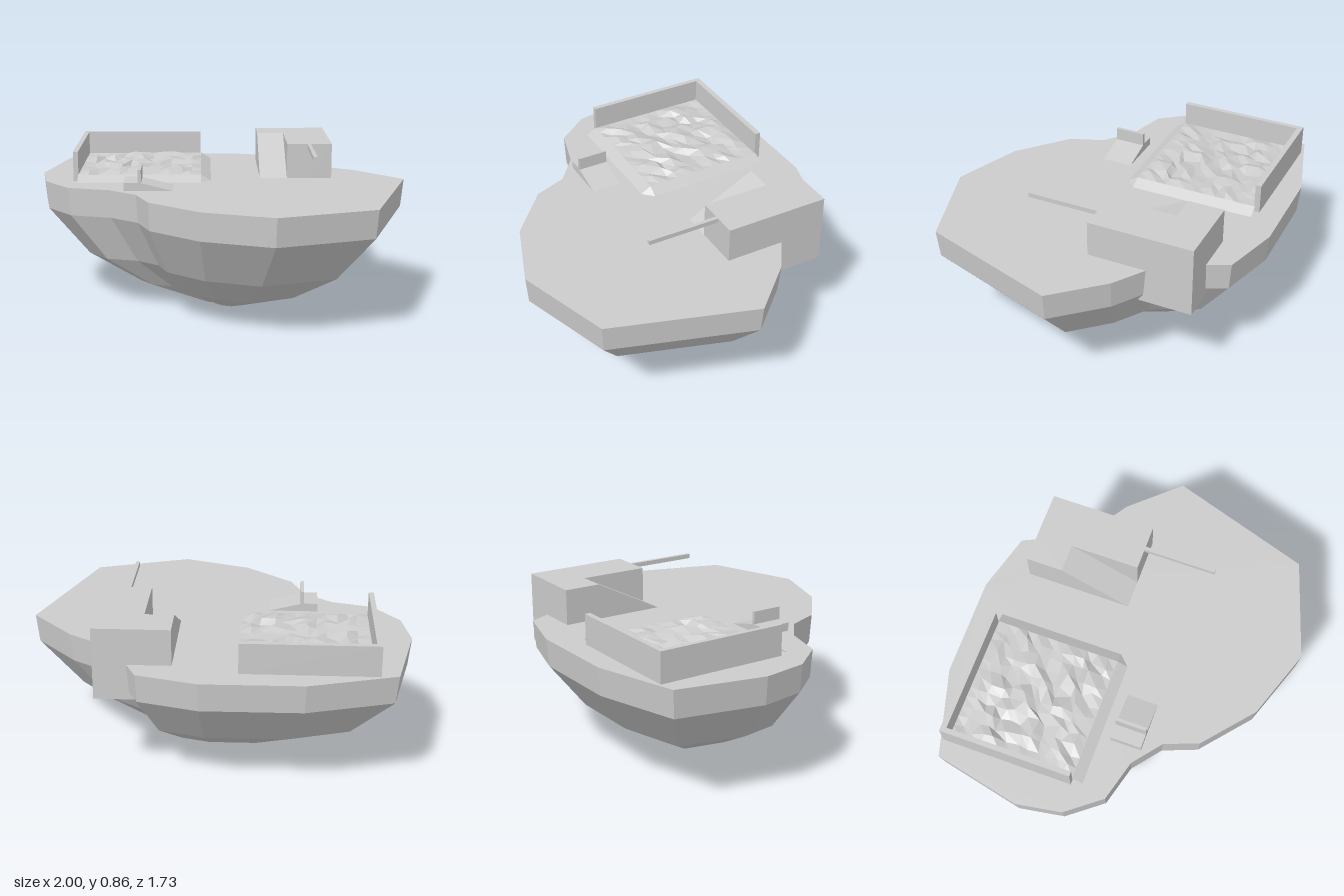
import * as THREE from 'three';

const mat = new THREE.MeshStandardMaterial({ color: 0xcccccc, flatShading: true });
const matDouble = new THREE.MeshStandardMaterial({ color: 0xcccccc, flatShading: true, side: THREE.DoubleSide });
const GROUND = 0.67;

// Island outline, x and z
const OUTLINE = [
  [-0.45, -0.86], [0.07, -0.865], [0.38, -0.78], [0.5, -0.53], [0.54, -0.46], [0.77, -0.31],
  [1, -0.06], [0.76, 0.69], [0.25, 0.86], [-0.12, 0.73], [-0.38, 0.51], [-0.45, 0.33],
  [-0.6, 0.21], [-0.82, 0.15], [-0.96, -0.03], [-1, -0.27], [-0.9, -0.73],
];
// Rings of the island: height, scale, x shift, z shift
const RINGS = [
  [GROUND, 1, 0, 0], [0.52, 0.985, 0, 0], [0.27, 0.76, 0, 0], [0.11, 0.475, 0.01, 0], [0, 0.12, 0.02, 0.02],
];

function add(group, name, geometry, material = mat) {
  const mesh = new THREE.Mesh(geometry, material);
  mesh.name = name;
  group.add(mesh);
  return mesh;
}

// Box given by its minimum and maximum on each axis
function box(group, name, [x0, x1], [y0, y1], [z0, z1]) {
  const mesh = add(group, name, new THREE.BoxGeometry(x1 - x0, y1 - y0, z1 - z0));
  mesh.position.set((x0 + x1) / 2, (y0 + y1) / 2, (z0 + z1) / 2);
  return mesh;
}

// Triangular prism: profile in x and y, running along z
function prism(profile, z0, z1) {
  const shape = new THREE.Shape(profile.map(([x, y]) => new THREE.Vector2(x, y)));
  return new THREE.ExtrudeGeometry(shape, { depth: z1 - z0, bevelEnabled: false }).translate(0, 0, z0);
}

function indexed(positions, index) {
  const g = new THREE.BufferGeometry();
  g.setAttribute('position', new THREE.Float32BufferAttribute(positions, 3));
  g.setIndex(index);
  const flat = g.toNonIndexed();
  flat.computeVertexNormals();
  return flat;
}

function ringPoints([, s, dx, dz]) {
  return OUTLINE.map(([x, z]) => [x * s + dx, z * s + dz]);
}

function islandSide() {
  const n = OUTLINE.length, pos = [], index = [];
  RINGS.forEach((r) => ringPoints(r).forEach(([x, z]) => pos.push(x, r[0], z)));
  for (let r = 0; r < RINGS.length - 1; r++) {
    for (let i = 0; i < n; i++) {
      const a = r * n + i, b = r * n + (i + 1) % n, c = a + n, d = b + n;
      index.push(a, b, c, b, d, c);
    }
  }
  return indexed(pos, index);
}

// Flat cap of a ring, facing up (1) or down (-1)
function cap(ring, dir) {
  const pts = ringPoints(ring).map(([x, z]) => new THREE.Vector2(x, -dir * z));
  return new THREE.ShapeGeometry(new THREE.Shape(pts)).rotateX(-dir * Math.PI / 2).translate(0, ring[0], 0);
}

// Lumpy bed with a skirt sloping to the ground at its front and right edges
function bedGeometry() {
  let seed = 7;
  const rand = () => (seed = (seed * 16807) % 2147483647) / 2147483647;
  const n = 13, pos = [], index = [];
  for (let j = 0; j <= n; j++) {
    for (let i = 0; i <= n; i++) {
      const skirt = i === n || j === n;
      const rim = i === 0 || j === 0 || i === n - 1 || j === n - 1;
      const jit = () => (skirt || rim ? 0 : (rand() - 0.5) * 0.035);
      const x = i === n ? -0.06 : -0.785 + 0.67 * i / (n - 1);
      const z = j === n ? 0.015 : -0.715 + 0.675 * j / (n - 1);
      const y = skirt ? GROUND : rim ? 0.703 : 0.69 + rand() * 0.035;
      pos.push(x + jit(), y, z + jit());
    }
  }
  for (let j = 0; j < n; j++) {
    for (let i = 0; i < n; i++) {
      const a = j * (n + 1) + i, b = a + 1, c = a + n + 1, d = c + 1;
      index.push(a, c, b, b, c, d);
    }
  }
  return indexed(pos, index);
}

export function createModel() {
  const model = new THREE.Group();
  model.name = 'floatingIsland';

  // Island body
  const island = new THREE.Group();
  island.name = 'island';
  add(island, 'islandSide', islandSide());
  add(island, 'islandTop', cap(RINGS[0], 1));
  add(island, 'islandBottom', cap(RINGS[RINGS.length - 1], -1));

  // Walled bed
  const bed = new THREE.Group();
  bed.name = 'walledBed';
  box(bed, 'backWall', [-0.81, -0.12], [GROUND, 0.83], [-0.74, -0.71]);
  box(bed, 'sideWall', [-0.81, -0.783], [GROUND, 0.83], [-0.71, -0.04]);
  add(bed, 'lumpyBed', bedGeometry(), matDouble);

  // Corner block with a ramp and a pole
  const house = new THREE.Group();
  house.name = 'cornerBlock';
  box(house, 'mainBlock', [0.36, 0.605], [0.48, 0.86], [-0.665, -0.1]);
  box(house, 'sideBlock', [0.21, 0.36], [0.48, 0.86], [-0.665, -0.47]);
  const ramp = prism([[0.1, GROUND], [0.47, GROUND], [0.47, 0.86]], 0.21, 0.36);
  // Turn the prism so its slope climbs towards the back
  ramp.rotateY(Math.PI / 2).scale(1, 1, 1);
  add(house, 'ramp', ramp);
  box(house, 'pole', [0.47, 0.49], [0.836, 0.86], [-0.1, 0.29]);

  // Bench: low seat, upright board and sloping rear foot
  const bench = new THREE.Group();
  bench.name = 'bench';
  box(bench, 'seat', [-0.52, -0.445], [GROUND, 0.714], [0.07, 0.235]);
  box(bench, 'backrest', [-0.445, -0.428], [GROUND, 0.782], [0.07, 0.235]);
  add(bench, 'slope', prism([[-0.428, GROUND], [-0.26, GROUND], [-0.428, 0.712]], 0.07, 0.235));

  model.add(island, bed, house, bench);
  return model;
}
